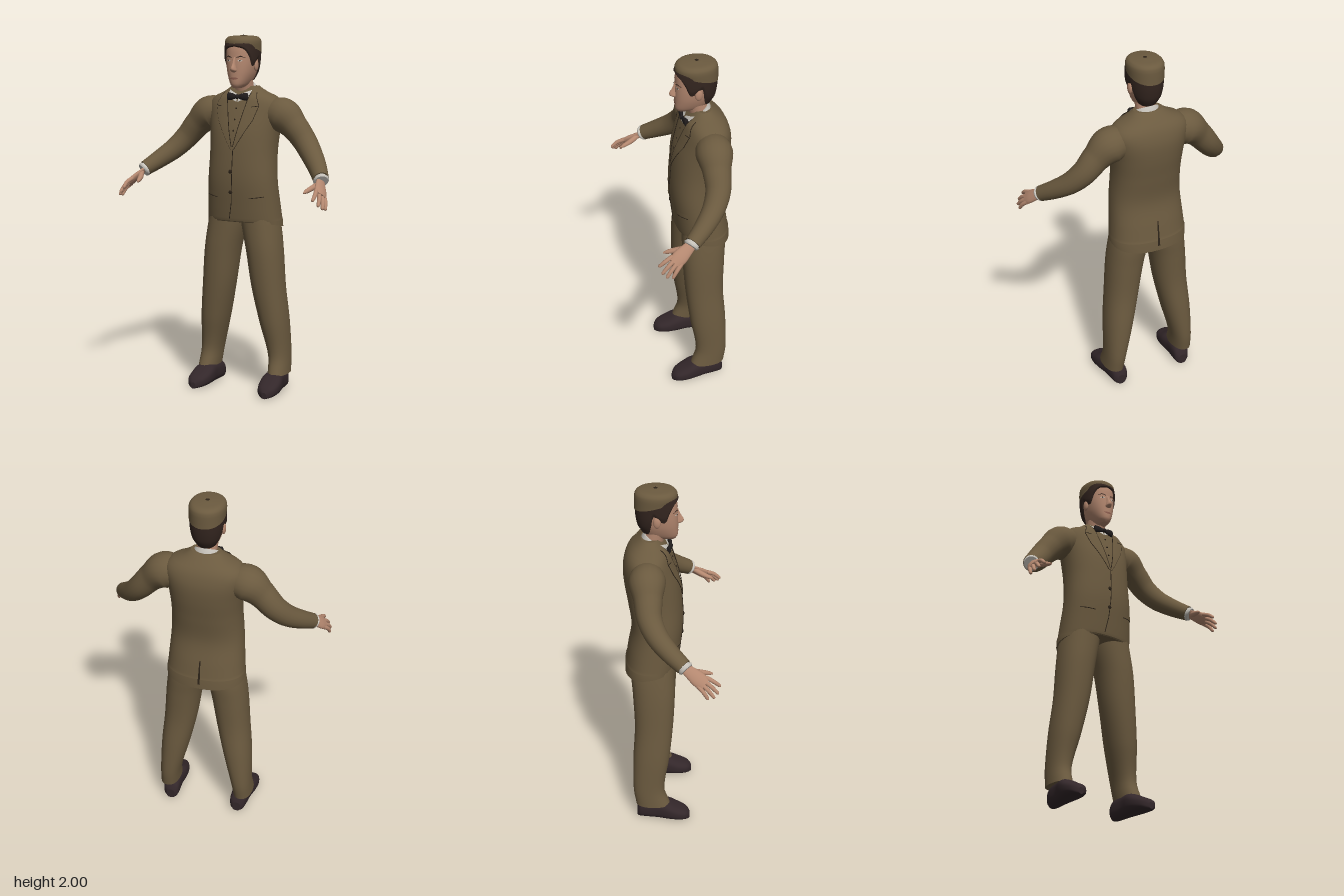
import * as THREE from 'three';

const V = (x, y, z) => new THREE.Vector3(x, y, z);
const mat = (name, color) => new THREE.MeshStandardMaterial({ name, color, side: THREE.DoubleSide });

// Smooth interpolation of table rows [y, a, b, c...] at height y
function sample(t, y) {
  let i = 0;
  while (i < t.length - 2 && y > t[i + 1][0]) i++;
  const h = t[i + 1][0] - t[i][0], f = Math.min(1, Math.max(0, (y - t[i][0]) / h));
  const slope = (k, c) => {
    const a = t[Math.max(0, k - 1)], b = t[Math.min(t.length - 1, k + 1)];
    return (b[c] - a[c]) / (b[0] - a[0]);
  };
  return t[i].map((p, c) => c === 0 ? y
    : p * (2 * f ** 3 - 3 * f * f + 1) + t[i + 1][c] * (3 * f * f - 2 * f ** 3)
      + h * (slope(i, c) * (f ** 3 - 2 * f * f + f) + slope(i + 1, c) * (f ** 3 - f * f)));
}

const pw = (v, n) => Math.sign(v) * Math.abs(v) ** (2 / n);
// Superellipse ring around c with half axes u and v
function ring(c, u, v, n = 2, count = 40) {
  return Array.from({ length: count }, (_, i) => {
    const a = i / count * Math.PI * 2;
    return c.clone().addScaledVector(u, pw(Math.cos(a), n)).addScaledVector(v, pw(Math.sin(a), n));
  });
}
const levelRing = (y, x0, x1, zf, zb, n) =>
  ring(V((x0 + x1) / 2, y, (zf + zb) / 2), V(0, 0, (zf - zb) / 2), V((x1 - x0) / 2, 0, 0), n);

// Closed skin through a list of rings, with flat end caps
function loft(rings) {
  const n = rings[0].length, pts = rings.flat(), idx = [];
  for (let i = 0; i < rings.length - 1; i++) for (let j = 0; j < n; j++) {
    const a = i * n + j, b = i * n + (j + 1) % n;
    idx.push(a, b, a + n, b, b + n, a + n);
  }
  [rings[0], rings[rings.length - 1]].forEach((r, end) => {
    const s = pts.length;
    pts.push(...r, r.reduce((m, p) => m.addScaledVector(p, 1 / n), V(0, 0, 0)));
    for (let j = 0; j < n; j++) {
      const k = (j + 1) % n;
      idx.push(s + n, s + (end ? j : k), s + (end ? k : j));
    }
  });
  const g = new THREE.BufferGeometry().setFromPoints(pts);
  g.setIndex(idx);
  g.computeVertexNormals();
  return g;
}

// Round or flattened limb along points [x, y, z, radius]; "wide" is its broad direction
function limb(pts, steps = 24, flat = 1, wide = V(0, 1, 1)) {
  const path = new THREE.CatmullRomCurve3(pts.map(p => V(p[0], p[1], p[2])));
  const rad = new THREE.CatmullRomCurve3(pts.map(p => V(p[3], 0, 0)));
  return loft(Array.from({ length: steps + 1 }, (_, i) => {
    const t = i / steps, d = path.getTangent(t), r = rad.getPoint(t).x;
    const u = wide.clone().addScaledVector(d, -d.dot(wide)).normalize();
    const v = d.clone().cross(u);
    return ring(path.getPoint(t), u.multiplyScalar(r), v.multiplyScalar(r * flat), 2, 20);
  }));
}

// Open sheet from a function of u and v
function grid(nu, nv, fn) {
  const pts = [], idx = [], w = nv + 1;
  for (let i = 0; i <= nu; i++) for (let j = 0; j <= nv; j++) pts.push(fn(i / nu, j / nv));
  for (let i = 0; i < nu; i++) for (let j = 0; j < nv; j++) {
    const a = i * w + j;
    idx.push(a, a + w, a + 1, a + 1, a + w, a + w + 1);
  }
  const g = new THREE.BufferGeometry().setFromPoints(pts);
  g.setIndex(idx);
  g.computeVertexNormals();
  return g;
}

// Body tables: [y, half width, front z, back z]
const TORSO = [[.94, .22, .03, -.262], [1.05, .211, .045, -.245], [1.2, .2, .06, -.222], [1.35, .193, .055, -.24],
  [1.47, .2, .04, -.258], [1.56, .213, .015, -.262], [1.62, .216, -.005, -.25], [1.66, .185, -.02, -.23],
  [1.69, .12, -.042, -.2], [1.72, .08, -.065, -.165]];
const HEAD = [[1.712, .022, .018, -.06], [1.73, .043, .03, -.13], [1.78, .066, .033, -.165], [1.83, .077, .033, -.178],
  [1.88, .081, .03, -.183], [1.93, .081, .025, -.183], [1.965, .075, .01, -.17], [1.99, .04, -.04, -.12]];
const LEG = [[.1, .166, .277, -.005, -.2], [.2, .155, .272, -.038, -.215], [.4, .105, .265, -.01, -.215],
  [.6, .062, .247, .01, -.205], [.8, .03, .232, .02, -.214], [.94, .0, .213, .018, -.222], [1.04, -.01, .19, .015, -.2]];
const rows = (t, n) => Array.from({ length: n + 1 }, (_, i) =>
  sample(t, t[0][0] + (t[t.length - 1][0] - t[0][0]) * i / n));

// Point on the front (or back) of a body table, raised by off
function onto(t, n, x, y, off, back = false) {
  const [, rx, zf, zb] = sample(t, y), k = Math.max(0, 1 - Math.abs(x / rx) ** n) ** (1 / n);
  const z = (zf + zb) / 2 + (back ? -1 : 1) * ((zf - zb) / 2 * k + off);
  return V(x, y, z);
}
function along(line, t) {
  const f = t * (line.length - 1), i = Math.min(line.length - 2, Math.floor(f)), k = f - i;
  return [0, 1].map(c => line[i][c] * (1 - k) + line[i + 1][c] * k);
}
// Thin plate between two outlines, and thin seam along one outline
const patch = (t, a, b, off, back) => grid(24, 8, (u, v) => {
  const p = along(a, u), q = along(b, u);
  return onto(t, 2.3, p[0] + (q[0] - p[0]) * v, p[1] + (q[1] - p[1]) * v, off, back);
});
const seam = (line, off, r = .0022, back = false) => new THREE.TubeGeometry(new THREE.CatmullRomCurve3(
  Array.from({ length: 25 }, (_, i) => onto(TORSO, 2.3, ...along(line, i / 24), off, back))), 36, r, 5);
const ball = (x, y, z, rx, ry, rz) => new THREE.SphereGeometry(1, 20, 14).scale(rx, ry, rz).translate(x, y, z);

export function createModel() {
  const model = new THREE.Group();
  const suit = mat('brown cloth', 0x6b5a3f), line = mat('dark seam', 0x2b2218), skin = mat('skin', 0xb3876f),
    hairM = mat('dark hair', 0x33251f), leather = mat('shoe leather', 0x33272a), white = mat('white shirt', 0xc6c2ba),
    black = mat('black silk', 0x211d1d), lip = mat('lips', 0x8e5f50);
  const add = (name, g, m) => {
    const mesh = new THREE.Mesh(g, m);
    mesh.name = name;
    model.add(mesh);
  };
  // Adds a part and its mirror image
  const both = (name, g, m) => {
    add('left' + name, g, m);
    const h = g.clone().scale(-1, 1, 1), ix = h.index.array;
    for (let i = 0; i < ix.length; i += 3) [ix[i], ix[i + 1]] = [ix[i + 1], ix[i]];
    add('right' + name, h, m);
  };

  // Jacket body, with a hem that drops towards the back
  const body = rows(TORSO, 44).map(([y, rx, zf, zb]) => levelRing(y, -rx, rx, zf, zb, 2.3));
  body[0].forEach(p => { p.y = .943 + .1 * (p.z + .116) * 1.9; });
  body[1].forEach(p => { p.y = Math.max(p.y, .975); });
  add('jacket', loft(body), suit);

  // Lapels, front opening, pockets and vent
  const inner = [[.07, 1.685], [.048, 1.585], [.026, 1.485], [.004, 1.39]];
  const outer = [[.098, 1.685], [.128, 1.615], [.105, 1.54], [.008, 1.375]];
  both('Lapel', patch(TORSO, inner, outer, .007), suit);
  both('LapelInnerSeam', seam(inner, .006), line);
  both('LapelOuterSeam', seam(outer, .005), line);
  both('LapelNotch', seam([[.128, 1.615], [.092, 1.61]], .008, .002), line);
  add('frontSeam', seam([[.004, 1.39], [0, 1.2], [-.008, 1.08], [-.025, .99]], .001), line);
  both('PocketFlap', patch(TORSO, [[.095, 1.135], [.172, 1.145]], [[.097, 1.108], [.172, 1.118]], .005), suit);
  both('PocketSeam', seam([[.097, 1.108], [.172, 1.118]], .005), line);
  add('backVent', patch(TORSO, [[-.003, 1.09], [-.004, .945]], [[.003, 1.09], [.009, .945]], .003, true), line);
  for (const y of [1.255, 1.14]) {
    const p = onto(TORSO, 2.3, -.008, y, .003);
    add('jacketButton', ball(p.x, p.y, p.z, .011, .011, .005), line);
  }
  for (const y of [1.6, 1.54, 1.48]) {
    const p = onto(TORSO, 2.3, 0, y, .001);
    add('waistcoatButton', ball(p.x, p.y, p.z, .005, .005, .004), line);
  }

  // Sleeves and shirt cuffs
  both('Sleeve', limb([[.14, 1.565, -.125, .08], [.225, 1.56, -.122, .098], [.3, 1.5, -.115, .076], [.365, 1.425, -.105, .067],
    [.425, 1.357, -.065, .06], [.485, 1.3, 0, .052], [.54, 1.248, .076, .043]], 40), suit);
  both('Cuff', limb([[.532, 1.256, .064, .035], [.541, 1.245, .08, .037], [.549, 1.236, .091, .037]], 6), white);

  // Hands with four fingers and a thumb
  const spread = V(.47, -.57, -.68);
  both('Palm', limb([[.54, 1.245, .078, .026], [.555, 1.22, .115, .034], [.572, 1.193, .155, .041], [.585, 1.172, .187, .036]],
    12, .42, spread), skin);
  [[.573, 1.155, .268], [.602, 1.127, .258], [.618, 1.11, .238], [.621, 1.103, .206]].forEach((tip, i) => {
    const b = V(.576, 1.184, .17).addScaledVector(spread, -.03 + i * .02), e = V(...tip), m = b.clone().lerp(e, .5);
    both('Finger' + (i + 1), limb([[...b, .012], [m.x + .005, m.y + .004, m.z + .003, .011],
      [...b.clone().lerp(e, .93), .0085], [...e, .003]], 12), skin);
  });
  both('Thumb', limb([[.548, 1.228, .11, .016], [.524, 1.208, .16, .015], [.51, 1.194, .205, .011], [.505, 1.188, .226, .004]], 12), skin);

  // Trousers and shoes
  both('TrouserLeg', loft(rows(LEG, 36).map(([y, a, b, zf, zb]) => levelRing(y, a, b, zf, zb, 2.2))), suit);
  const SHOE = [[-.195, .024, .06], [-.185, .04, .09], [-.15, .048, .112], [-.08, .052, .118], [-.02, .062, .112],
    [.03, .062, .088], [.07, .053, .07], [.095, .038, .056], [.11, .014, .036]];
  both('Shoe', loft(rows(SHOE, 30).map(([z, rx, h]) =>
    ring(V(.216 + z * .07, h / 2, z), V(rx, 0, 0), V(0, h / 2, 0), 2.7))), leather);

  // Neck, shirt collar and bow tie
  add('neck', limb([[0, 1.63, -.115, .056], [0, 1.7, -.098, .054], [0, 1.78, -.075, .055]], 8), skin);
  add('collar', loft([ring(V(0, 1.655, -.098), V(0, -.02, .078), V(.09, 0, 0)),
    ring(V(0, 1.69, -.095), V(0, -.03, .066), V(.078, 0, 0)),
    ring(V(0, 1.712, -.092), V(0, -.033, .056), V(.066, 0, 0))]), white);
  both('CollarWing', patch(TORSO, [[.005, 1.675], [.068, 1.7]], [[.003, 1.635], [.062, 1.66]], .004), white);
  both('BowWing', limb([[.004, 1.664, -.008, .009], [.03, 1.664, -.01, .018], [.056, 1.664, -.016, .022],
    [.062, 1.664, -.018, .016]], 12, .55, V(0, 1, 0)), black);
  add('bowKnot', ball(0, 1.664, -.006, .012, .013, .012), black);

  // Head and face
  add('head', loft(rows(HEAD, 36).map(([y, rx, zf, zb]) => levelRing(y, -rx, rx, zf, zb, 2.3))), skin);
  add('nose', loft(rows([[1.798, .01, .036, .005], [1.806, .018, .056, .005], [1.82, .015, .062, .005],
    [1.845, .01, .048, .005], [1.88, .009, .032, .005]], 16).map(([y, rx, zf, zb]) => levelRing(y, -rx, rx, zf, zb, 2))), skin);
  both('Ear', ball(.083, 1.835, -.075, .011, .032, .02), skin);
  both('EyeWhite', patch(HEAD, [[.02, 1.861], [.032, 1.868], [.048, 1.861]], [[.02, 1.861], [.034, 1.856], [.048, 1.861]], .002), white);
  both('Iris', patch(HEAD, [[.03, 1.862], [.034, 1.867], [.039, 1.862]], [[.03, 1.862], [.034, 1.857], [.039, 1.862]], .003), line);
  both('Brow', patch(HEAD, [[.015, 1.881], [.038, 1.889], [.058, 1.878]], [[.015, 1.876], [.038, 1.883], [.058, 1.876]], .003), hairM);
  add('mouth', patch(HEAD, [[-.027, 1.765], [-.01, 1.771], [0, 1.769], [.01, 1.771], [.027, 1.765]],
    [[-.027, 1.765], [-.01, 1.759], [0, 1.758], [.01, 1.759], [.027, 1.765]], .002), lip);

  // Hair, with hairline height set by the angle from the front
  const HAIRLINE = [[0, 1.938], [35, 1.922], [55, 1.885], [70, 1.835], [85, 1.84], [97, 1.868], [108, 1.8], [125, 1.757], [180, 1.748]];
  add('hair', grid(96, 16, (u, v) => {
    const a = (u * 2 - 1) * Math.PI, low = sample(HAIRLINE, Math.abs(a) * 180 / Math.PI)[1];
    const y = low + (1.968 - low) * v, [, rx, zf, zb] = sample(HEAD, y), off = .004 + .007 * Math.min(1, v * 5);
    return V((rx + off) * pw(Math.sin(a), 2.3), y, (zf + zb) / 2 + ((zf - zb) / 2 + off) * pw(Math.cos(a), 2.3));
  }), hairM);

  // Flat-topped cap with a small button
  const CAP = [[1.92, .095, .027, -.198], [1.962, .096, .03, -.196], [1.982, .088, .02, -.186],
    [1.993, .068, -.005, -.16], [1.997, .02, -.06, -.11]];
  const cap = rows(CAP, 24).map(([y, rx, zf, zb]) => levelRing(y, -rx, rx, zf, zb, 2.1));
  cap.slice(0, 10).forEach((r, i) => r.forEach(p => { p.y += (1 - i / 10) * ((p.z + .085) * .27 - .004); }));
  add('cap', loft(cap), suit);
  add('capButton', ball(0, 1.996, -.085, .011, .004, .011), line);
  return model;
}
